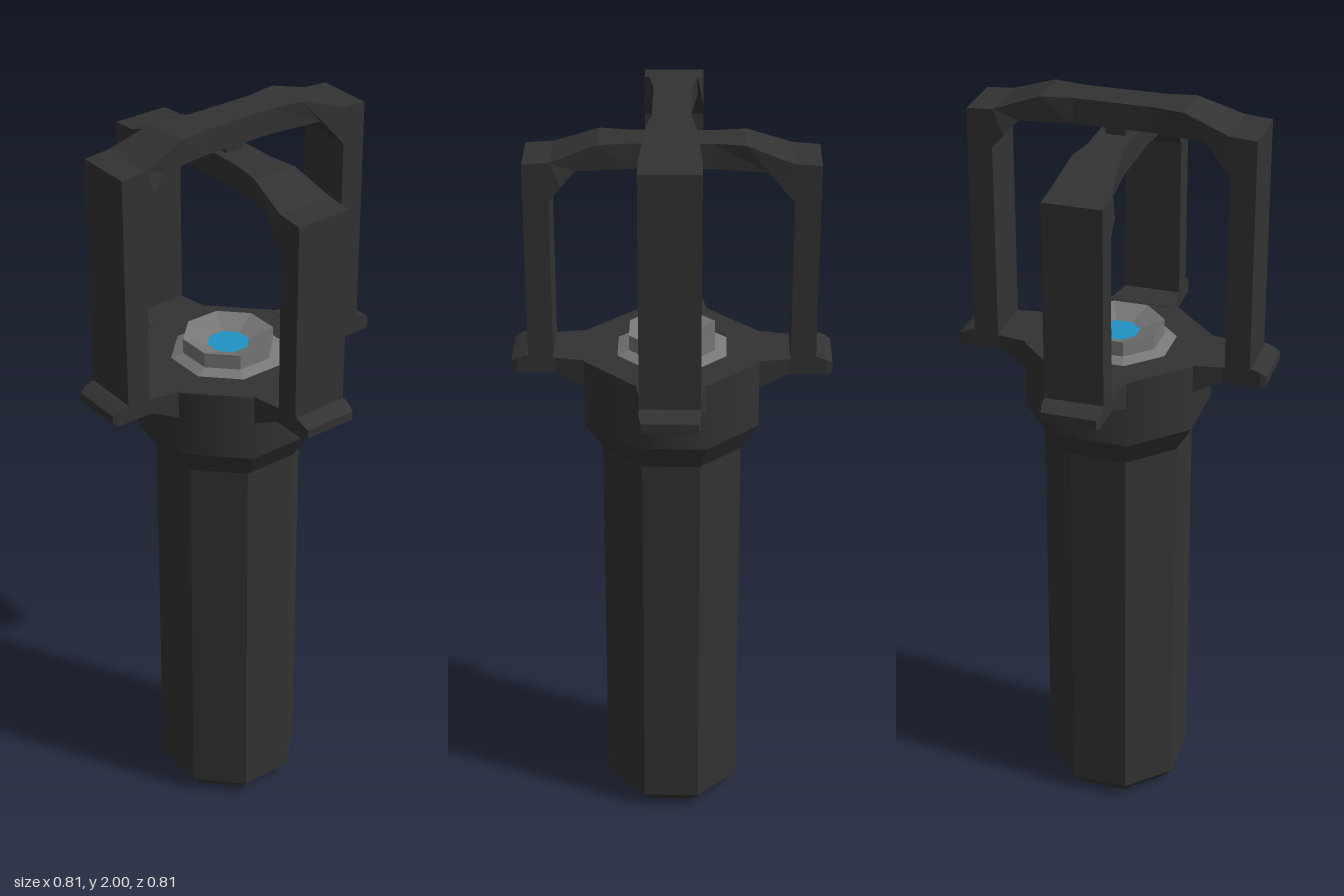
import * as THREE from 'three';

const dark = new THREE.MeshStandardMaterial({ color: 0x333333, flatShading: true });
const darkSmooth = new THREE.MeshStandardMaterial({ color: 0x333333 });
const grey = new THREE.MeshStandardMaterial({ color: 0x777777, flatShading: true });
const blue = new THREE.MeshStandardMaterial({ color: 0x1f93c4, flatShading: true });

function part(name, geometry, material) {
  const mesh = new THREE.Mesh(geometry, material);
  mesh.name = name;
  return mesh;
}

// Eight-sided turned part from [radius, height] pairs
function turned(name, profile, material) {
  const points = profile.map(([r, y]) => new THREE.Vector2(r, y));
  return part(name, new THREE.LatheGeometry(points, 8), material);
}

// Four-sided bar through stations [outerX, outerY, innerX, innerY, halfWidth]
function loft(stations) {
  const positions = [];
  const rings = stations.map(([ox, oy, ix, iy, w]) => [[ox, oy, w], [ox, oy, -w], [ix, iy, -w], [ix, iy, w]]);
  const quad = (a, b, c, d) => positions.push(...a, ...b, ...c, ...a, ...c, ...d);
  for (let i = 0; i < rings.length - 1; i++) {
    for (let j = 0; j < 4; j++) {
      const k = (j + 1) % 4;
      quad(rings[i][j], rings[i][k], rings[i + 1][k], rings[i + 1][j]);
    }
  }
  const [a, b, c, d] = rings[0];
  quad(d, c, b, a);
  quad(...rings[rings.length - 1]);
  const geometry = new THREE.BufferGeometry();
  geometry.setAttribute('position', new THREE.Float32BufferAttribute(positions, 3));
  geometry.computeVertexNormals();
  return geometry;
}

// Cage hoop: two posts joined by a beam that narrows in the middle
function hoop(drop) {
  const half = [
    [0.364, 1.33, 0.30, 1.33, 0.075],
    [0.364, 1.955 - drop, 0.30, 1.86 - drop, 0.075],
    [0.295, 1.96 - drop, 0.27, 1.895 - drop, 0.075],
    [0.18, 2 - drop, 0.236, 1.932 - drop, 0.06],
    [0.10, 2 - drop, 0.10, 1.935 - drop, 0.047],
  ];
  const mirrored = half.map(([ox, oy, ix, iy, w]) => [-ox, oy, -ix, iy, w]).reverse();
  return loft([...half, ...mirrored]);
}

// Bracket from its bevelled tip back to the collar face
const bracketStations = [
  [0.407, 1.335, 0.407, 1.312, 0.07],
  [0.39, 1.345, 0.395, 1.305, 0.075],
  [0.37, 1.353, 0.37, 1.305, 0.075],
  [0.295, 1.346, 0.295, 1.305, 0.075],
  [0.21, 1.346, 0.21, 1.265, 0.09],
];

export function createModel() {
  const model = new THREE.Group();
  model.name = 'cagedLamp';

  // Handle and collar
  model.add(turned('handle', [[0, 0], [0.155, 0], [0.193, 0.04], [0.193, 1.09], [0.24, 1.165]], dark));
  model.add(turned('collar', [[0.24, 1.165], [0.24, 1.345]], darkSmooth));
  model.add(turned('collarTop', [[0.24, 1.345], [0.15, 1.345]], dark));

  // Dished lamp holder with a coloured lens
  model.add(turned('lampHolder', [[0.155, 1.34], [0.118, 1.355], [0.118, 1.395], [0.055, 1.37]], grey));
  model.add(turned('lens', [[0.055, 1.37], [0, 1.37]], blue));

  // Two crossing hoops, the second passing over the first
  const cage = new THREE.Group();
  cage.name = 'cage';
  cage.rotation.y = -Math.PI / 8;
  const lowHoop = part('lowHoop', hoop(0.09), dark);
  const highHoop = part('highHoop', hoop(0), dark);
  highHoop.rotation.y = -Math.PI / 2;
  const joint = part('hoopJoint', new THREE.BoxGeometry(0.05, 0.05, 0.05), dark);
  joint.position.y = 1.92;
  cage.add(lowHoop, highHoop, joint);

  // Four brackets carrying the posts
  const bracket = loft(bracketStations);
  for (let i = 0; i < 4; i++) {
    const mesh = part('bracket', bracket, dark);
    mesh.rotation.y = i * Math.PI / 2;
    cage.add(mesh);
  }
  model.add(cage);
  return model;
}
